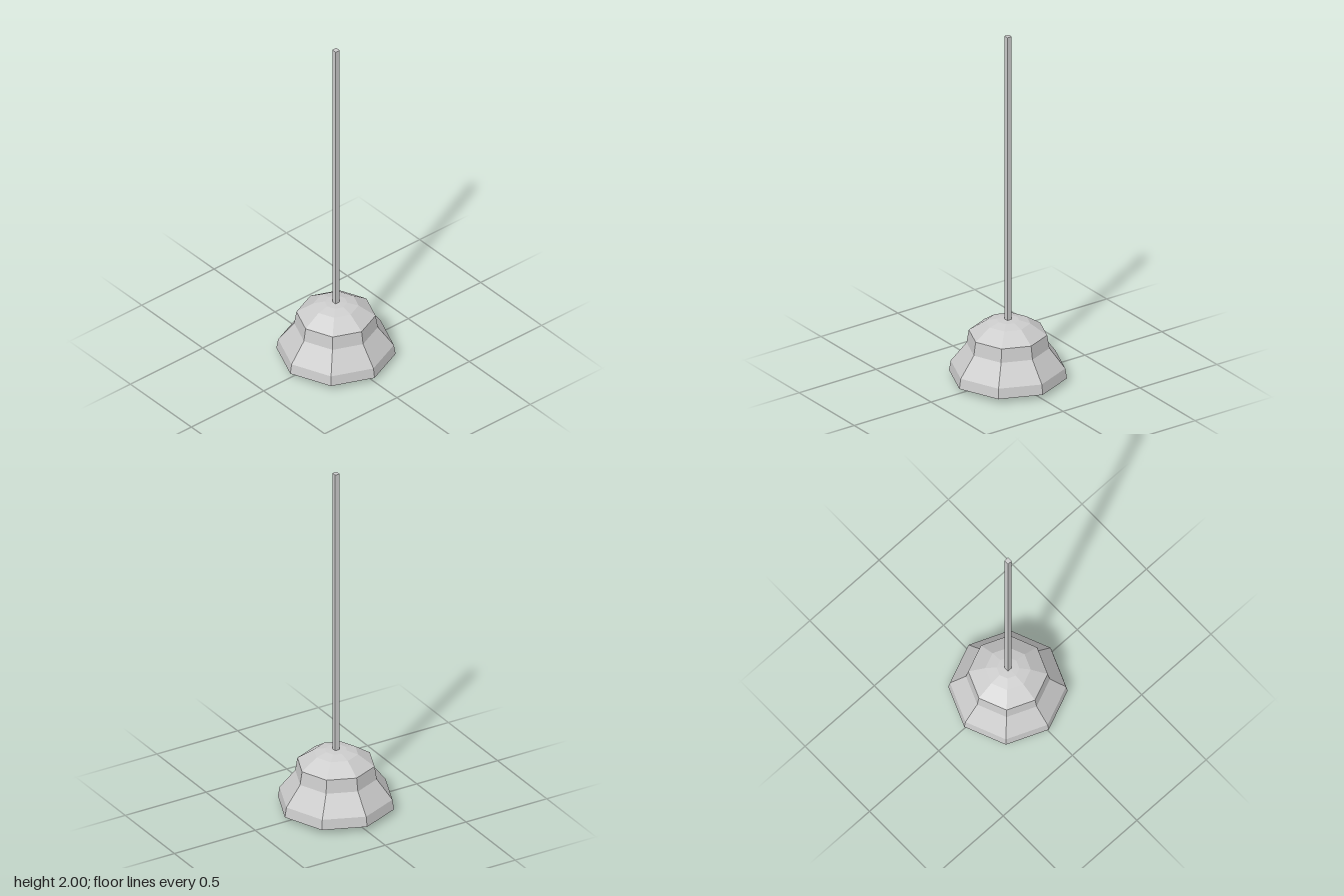
import * as THREE from 'three';

const material = new THREE.MeshStandardMaterial({
  color: 0xcccccc, flatShading: true, side: THREE.DoubleSide,
});

// Faceted turned part from [radius, y] pairs, listed bottom to top
function turned(name, profile, sides) {
  const points = profile.map(([r, y]) => new THREE.Vector2(r, y));
  const mesh = new THREE.Mesh(new THREE.LatheGeometry(points, sides), material);
  mesh.name = name;
  return mesh;
}

export function createModel() {
  const lamp = new THREE.Group();
  lamp.name = 'pendantLamp';

  // Open eight-sided shade with a stepped bell outline
  lamp.add(turned('shade', [
    [0.316, 0.026], [0.307, 0.083], [0.222, 0.195], [0.21, 0.27],
    [0.12, 0.331], [0.06, 0.346], [0, 0.349],
  ], 8));

  // Square hanging rod
  const rod = new THREE.Mesh(new THREE.BoxGeometry(0.028, 1.66, 0.028), material);
  rod.name = 'rod';
  rod.position.y = 1.17;
  lamp.add(rod);

  // Four-sided bulb, narrowing to its neck inside the shade
  const s = Math.SQRT2;
  const bulb = turned('bulb', [
    [0, 0], [0.03 * s, 0], [0.064 * s, 0.045], [0.064 * s, 0.13],
    [0.03 * s, 0.2], [0.03 * s, 0.335],
  ], 4);
  bulb.rotation.y = Math.PI / 4;
  lamp.add(bulb);

  return lamp;
}
